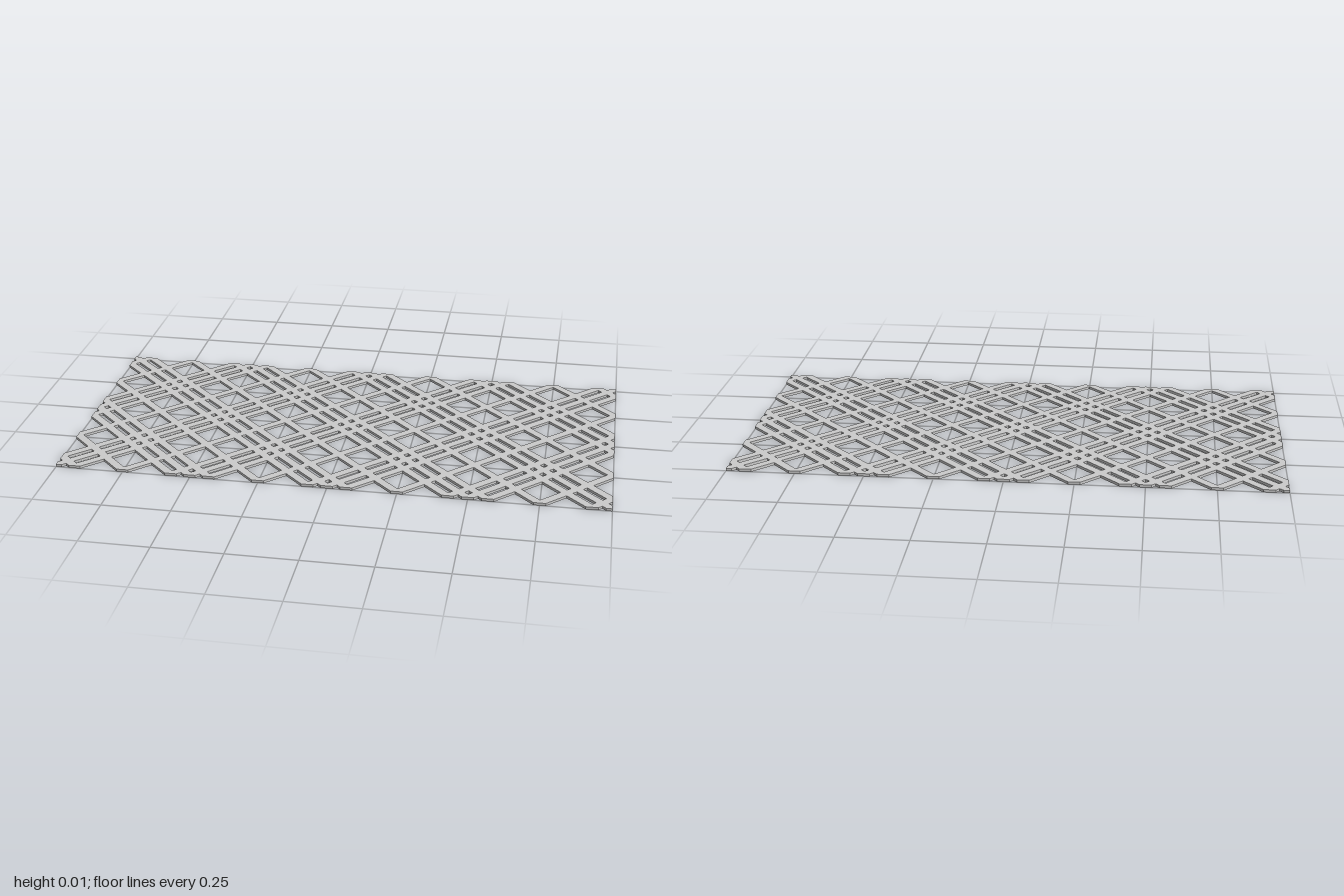
import * as THREE from 'three';

const HALF_X = 1, HALF_Z = 0.5;   // half size of the panel
const THICK = 0.01;
const HALF_CUT = 0.0215;          // half width of a bar, measured along the panel edge
const SPACING = 0.07;             // bar spacing inside a triple band, along the edge

// Keep the part of a polygon where side(p) >= 0
function clip(points, side) {
  const out = [];
  points.forEach((p, i) => {
    const q = points[(i + 1) % points.length];
    const a = side(p), b = side(q);
    if (a >= 0) out.push(p);
    if ((a > 0 && b < 0) || (a < 0 && b > 0)) out.push(p.clone().lerp(q, a / (a - b)));
  });
  return out;
}

// Diagonal bar around the line x + dir * y = c, trimmed to the panel rectangle
function barGeometry(dir, c) {
  let points = [[-1, -1], [1, -1], [1, 1], [-1, 1]]
    .map(([x, y]) => new THREE.Vector2(x * HALF_X, y * HALF_Z));
  points = clip(points, p => p.x + dir * p.y - (c - HALF_CUT));
  points = clip(points, p => (c + HALF_CUT) - p.x - dir * p.y);
  if (points.length < 3) return null;
  const geometry = new THREE.ExtrudeGeometry(new THREE.Shape(points), { depth: THICK, bevelEnabled: false });
  return geometry.rotateX(-Math.PI / 2);
}

export function createModel() {
  const model = new THREE.Group();
  model.name = 'plaidLattice';
  const material = new THREE.MeshStandardMaterial({ color: 0xcccccc });

  for (const dir of [1, -1]) {
    const layer = new THREE.Group();
    layer.name = dir > 0 ? 'risingBars' : 'fallingBars';
    // Triple bands alternate with single bars
    for (let k = -6; k <= 6; k++) {
      const triple = k % 2 === 0;
      for (const offset of triple ? [-SPACING, 0, SPACING] : [0]) {
        const geometry = barGeometry(dir, k * 0.25 + offset);
        if (!geometry) continue;
        const bar = new THREE.Mesh(geometry, material);
        bar.name = triple ? 'tripleBandBar' : 'singleBar';
        layer.add(bar);
      }
    }
    model.add(layer);
  }
  return model;
}
